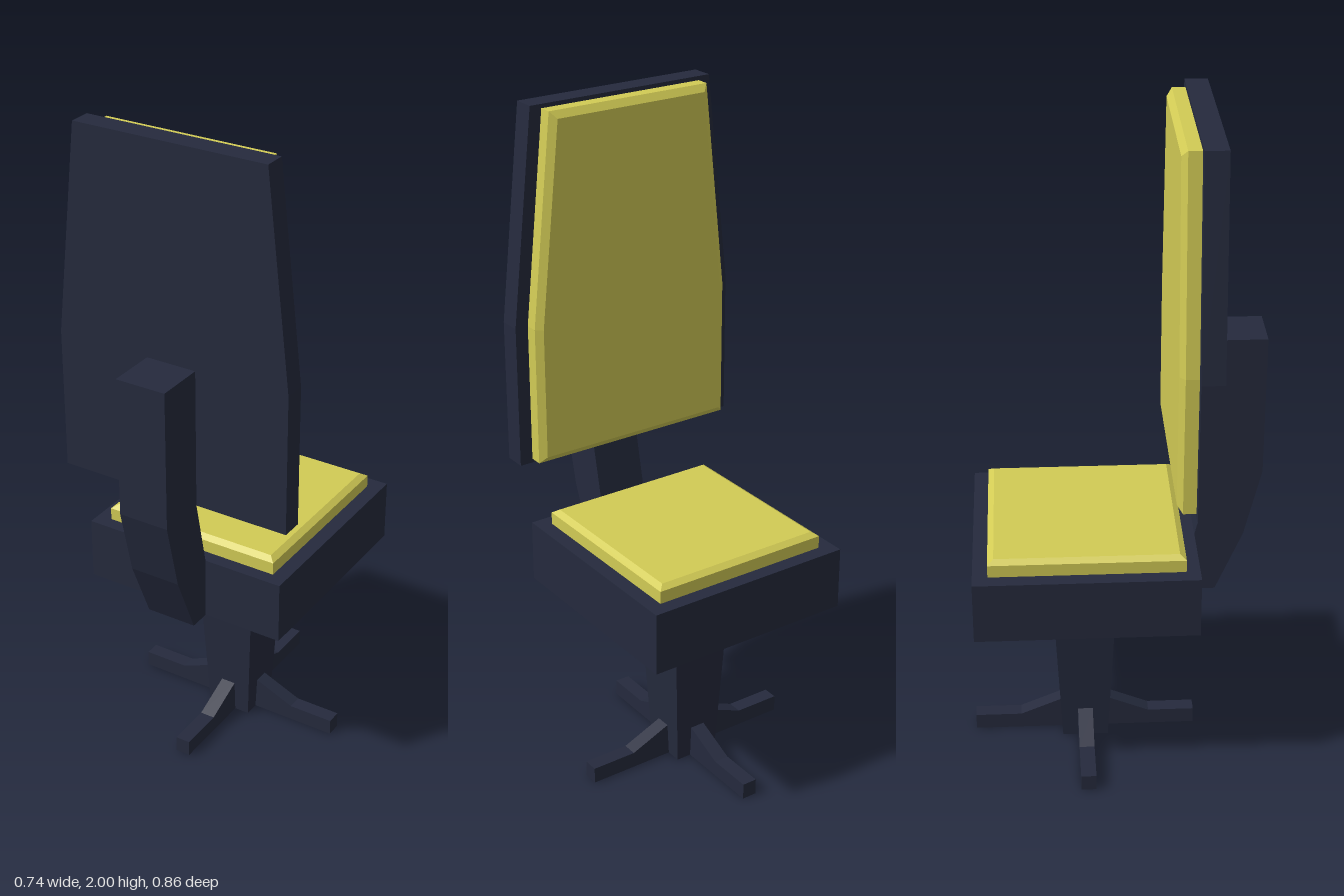
import * as THREE from 'three';

const NAVY = new THREE.MeshStandardMaterial({ color: 0x252a3d, flatShading: true });
const YELLOW = new THREE.MeshStandardMaterial({ color: 0xd2cb55, flatShading: true });
const SEAT_Z = -0.087; // centre line of seat, column and foot

const shapeOf = (pts) => new THREE.Shape(pts.map(([x, y]) => new THREE.Vector2(x, y)));

// Prism centred on its extrusion axis
function prism(pts, depth) {
  const g = new THREE.ExtrudeGeometry(shapeOf(pts), { depth, bevelEnabled: false });
  return g.translate(0, 0, -depth / 2);
}

// Pad with a chamfered face; the rear chamfer sinks into its support
function pad(pts, depth, chamfer, thickness) {
  return new THREE.ExtrudeGeometry(shapeOf(pts), {
    depth, bevelSegments: 1, bevelSize: chamfer, bevelOffset: -chamfer, bevelThickness: thickness,
  });
}

// Square tapered block from y0 to y1
function taper(y0, half0, y1, half1) {
  const g = new THREE.CylinderGeometry(half1 * Math.SQRT2, half0 * Math.SQRT2, y1 - y0, 4, 1);
  return g.rotateY(Math.PI / 4).translate(0, (y0 + y1) / 2, SEAT_Z);
}

// Backrest outline: straight lower sides, narrowing towards the top
const backOutline = (low, high, y0, y1) =>
  [[-low, y0], [low, y0], [low, 1.37], [high, y1], [-high, y1], [-low, 1.37]];

export function createModel() {
  const model = new THREE.Group();
  const add = (name, geometry, material = NAVY, parent = model) => {
    const mesh = new THREE.Mesh(geometry, material);
    mesh.name = name;
    parent.add(mesh);
    return mesh;
  };

  // Four-armed foot
  const foot = new THREE.Group();
  foot.name = 'foot';
  foot.position.z = SEAT_Z;
  model.add(foot);
  const arm = prism([[0.03, 0], [0.342, 0], [0.342, 0.05], [0.2, 0.05], [0.07, 0.105], [0.03, 0.105]], 0.046);
  for (let i = 0; i < 4; i++) {
    add('footArm', arm, NAVY, foot).rotation.y = (i * Math.PI) / 2;
  }

  // Column and flared seat support
  add('column', taper(0, 0.07, 0.475, 0.094));
  add('seatSupport', taper(0.475, 0.094, 0.542, 0.247));

  // Seat
  add('seatBase', new THREE.BoxGeometry(0.65, 0.19, 0.655).translate(0, 0.635, SEAT_Z));
  const seatPad = pad([[-0.28, -0.2], [0.28, -0.2], [0.28, 0.37], [-0.28, 0.37]], 0.045, 0.018, 0.012);
  add('seatCushion', seatPad.rotateX(-Math.PI / 2).translate(0, 0.723, 0), YELLOW);

  // Bent spine joining seat and backrest, profile as (-z, y)
  const spine = prism([
    [-0.24, 0.54], [-0.24, 0.73], [-0.285, 0.94], [-0.285, 1.365],
    [-0.435, 1.365], [-0.435, 0.94], [-0.385, 0.73], [-0.305, 0.54],
  ], 0.156);
  add('spine', spine.rotateY(Math.PI / 2));

  // Backrest shell and cushion, cushion facing -z
  add('backShell', prism(backOutline(0.368, 0.298, 0.94, 2), 0.066).translate(0, 0, 0.252));
  const backPad = pad(backOutline(0.328, 0.262, 0.952, 1.988), 0.047, 0.02, 0.016);
  add('backCushion', backPad.rotateY(Math.PI).translate(0, 0, 0.228), YELLOW);

  return model;
}
